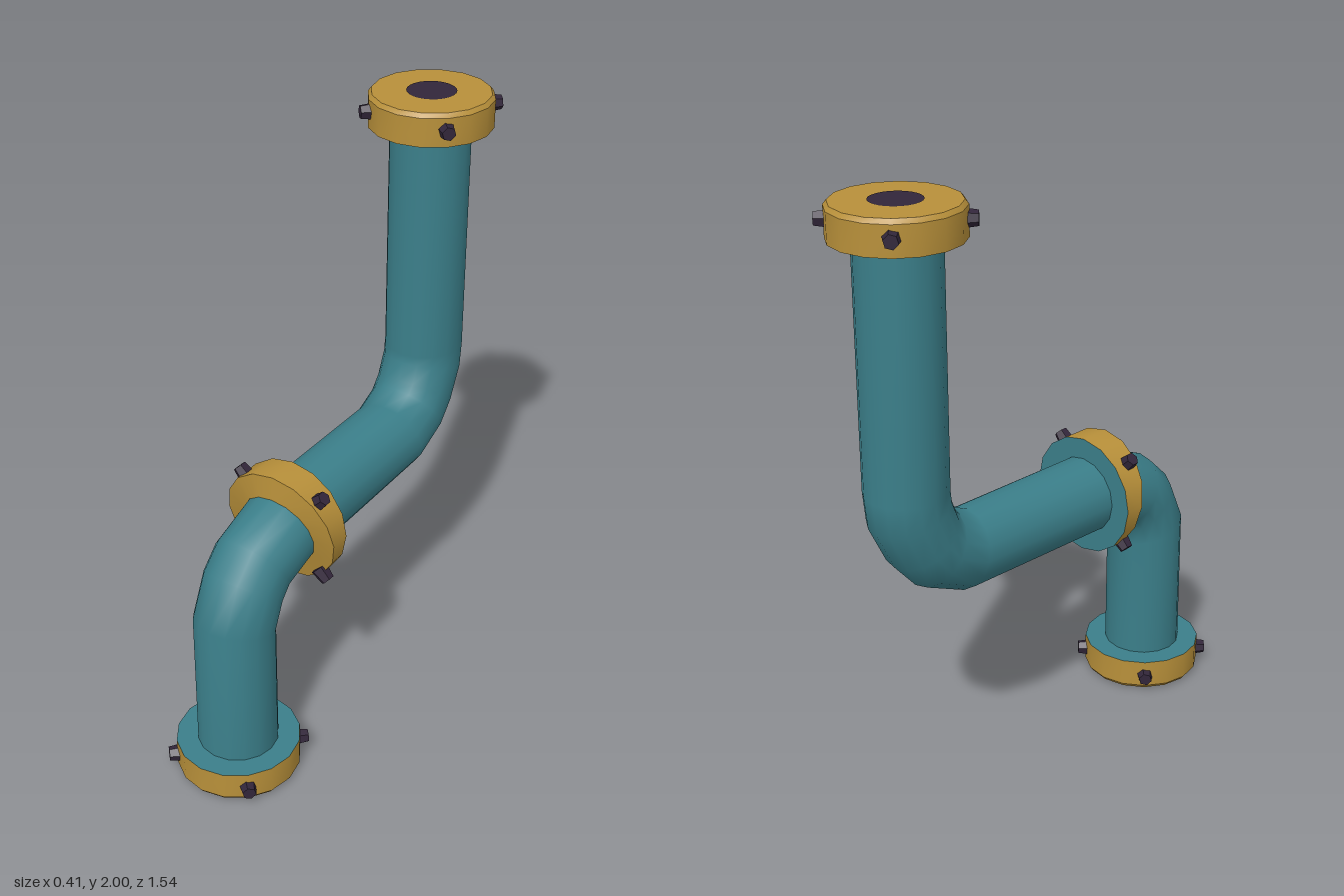
import * as THREE from 'three';

const SIDES = 16;
const PIPE_R = 0.135;
const RIM_R = 0.207;
const FACE_R = 0.196;

function material(name, color) {
  const m = new THREE.MeshStandardMaterial({ color });
  m.name = name;
  return m;
}

// Skin a list of rings. Each ring is [zA, yA, zB, yB, halfWidthX]: two opposite points and its width.
function loft(name, rings, mat) {
  const pos = [], index = [];
  rings.forEach(([zA, yA, zB, yB, rx], i) => {
    for (let j = 0; j < SIDES; j++) {
      const t = (j / SIDES) * Math.PI * 2, c = Math.cos(t) / 2;
      pos.push(rx * Math.sin(t), (yA + yB) / 2 + c * (yA - yB), (zA + zB) / 2 + c * (zA - zB));
      if (i === 0) continue;
      const k = (j + 1) % SIDES, a = (i - 1) * SIDES, b = i * SIDES;
      index.push(a + j, a + k, b + k, a + j, b + k, b + j);
    }
  });
  const g = new THREE.BufferGeometry();
  g.setAttribute('position', new THREE.Float32BufferAttribute(pos, 3));
  g.setIndex(index);
  g.computeVertexNormals();
  const mesh = new THREE.Mesh(g, mat);
  mesh.name = name;
  return mesh;
}

// Horizontal ring around a vertical axis
const flat = (z, y, r) => [z + r, y, z - r, y, r];

export function createModel() {
  const teal = material('teal pipe', 0x3b7f8a);
  const gold = material('gold flange', 0xb8903a);
  const dark = material('dark metal', 0x32263a);
  const model = new THREE.Group();
  model.name = 'bentPipe';

  // One continuous pipe with two elbows
  const pipe = [
    [0.698, 0.06, 0.43, 0.06],
    [0.69, 0.62, 0.43, 0.55],
    [0.615, 0.78, 0.405, 0.61],
    [0.525, 0.865, 0.388, 0.635],
    [0.325, 0.94, 0.25, 0.672],
    [0.23, 0.94, 0.23, 0.672],
    [-0.31, 0.94, -0.385, 0.685],
    [-0.385, 0.975, -0.54, 0.755],
    [-0.405, 1.0, -0.62, 0.845],
    [-0.427, 1.06, -0.688, 0.98],
    [-0.43, 1.09, -0.7, 1.09],
    [-0.43, 1.94, -0.7, 1.94],
  ].map((r) => [...r, PIPE_R]);
  model.add(loft('pipe', pipe, teal));

  // Four hexagonal bolts around a flange; place(x, s) gives the bolt centre and outward direction
  const boltGeo = new THREE.CylinderGeometry(0.023, 0.03, 0.05, 6).toNonIndexed();
  boltGeo.computeVertexNormals();
  function addBolts(group, place) {
    for (const x of [-1, 1]) for (const s of [-1, 1]) {
      const { position, direction } = place(x, s);
      const bolt = new THREE.Mesh(boltGeo, dark);
      bolt.name = 'bolt';
      bolt.position.copy(position);
      bolt.quaternion.setFromUnitVectors(new THREE.Vector3(0, 1, 0), direction.normalize());
      group.add(bolt);
    }
  }
  const D = 0.148;

  // End flanges: gold rim, bevel and face, teal inner side, dark opening
  function endFlange(name, z, yFace, up) {
    const group = new THREE.Group();
    group.name = name;
    const yBevel = yFace - up * 0.014, yBack = yFace - up * 0.11;
    const add = (part, rings, mat) => group.add(loft(part, up > 0 ? rings : rings.reverse(), mat));
    add('flangeBack', [flat(z, yBack, 0), flat(z, yBack, RIM_R)], teal);
    add('flangeRim', [flat(z, yBack, RIM_R), flat(z, yBevel, RIM_R)], gold);
    add('flangeBevel', [flat(z, yBevel, RIM_R), flat(z, yFace, FACE_R)], gold);
    add('flangeFace', [flat(z, yFace, FACE_R), flat(z, yFace, 0)], gold);
    const opening = new THREE.Mesh(new THREE.CircleGeometry(0.082, 24), dark);
    opening.name = 'opening';
    opening.rotation.x = -up * Math.PI / 2;
    opening.position.set(0, yFace + up * 0.002, z);
    group.add(opening);
    addBolts(group, (x, s) => ({
      position: new THREE.Vector3(x * D, yFace - up * 0.055, z + s * D),
      direction: new THREE.Vector3(x, 0, s),
    }));
    model.add(group);
  }
  endFlange('bottomFlange', 0.563, 0.003, -1);
  endFlange('topFlange', -0.565, 2, 1);

  // Wedge-shaped collar in the middle
  const collar = new THREE.Group();
  collar.name = 'middleFlange';
  const cy = 0.805;
  const front = [0.341, cy + RIM_R, 0.263, cy - RIM_R, RIM_R];
  const back = [0.23, cy + RIM_R, 0.23, cy - RIM_R, RIM_R];
  collar.add(loft('collarFace', [[0.348, 0.93, 0.28, 0.68, 0.12], front], gold));
  collar.add(loft('collarRim', [front, back], gold));
  collar.add(loft('collarBack', [back, [0.23, 0.93, 0.23, 0.68, 0.12]], teal));
  addBolts(collar, (x, s) => ({
    position: new THREE.Vector3(x * D, cy + s * D, 0.284 + s * 0.009),
    direction: new THREE.Vector3(x, s, 0),
  }));
  model.add(collar);

  return model;
}
